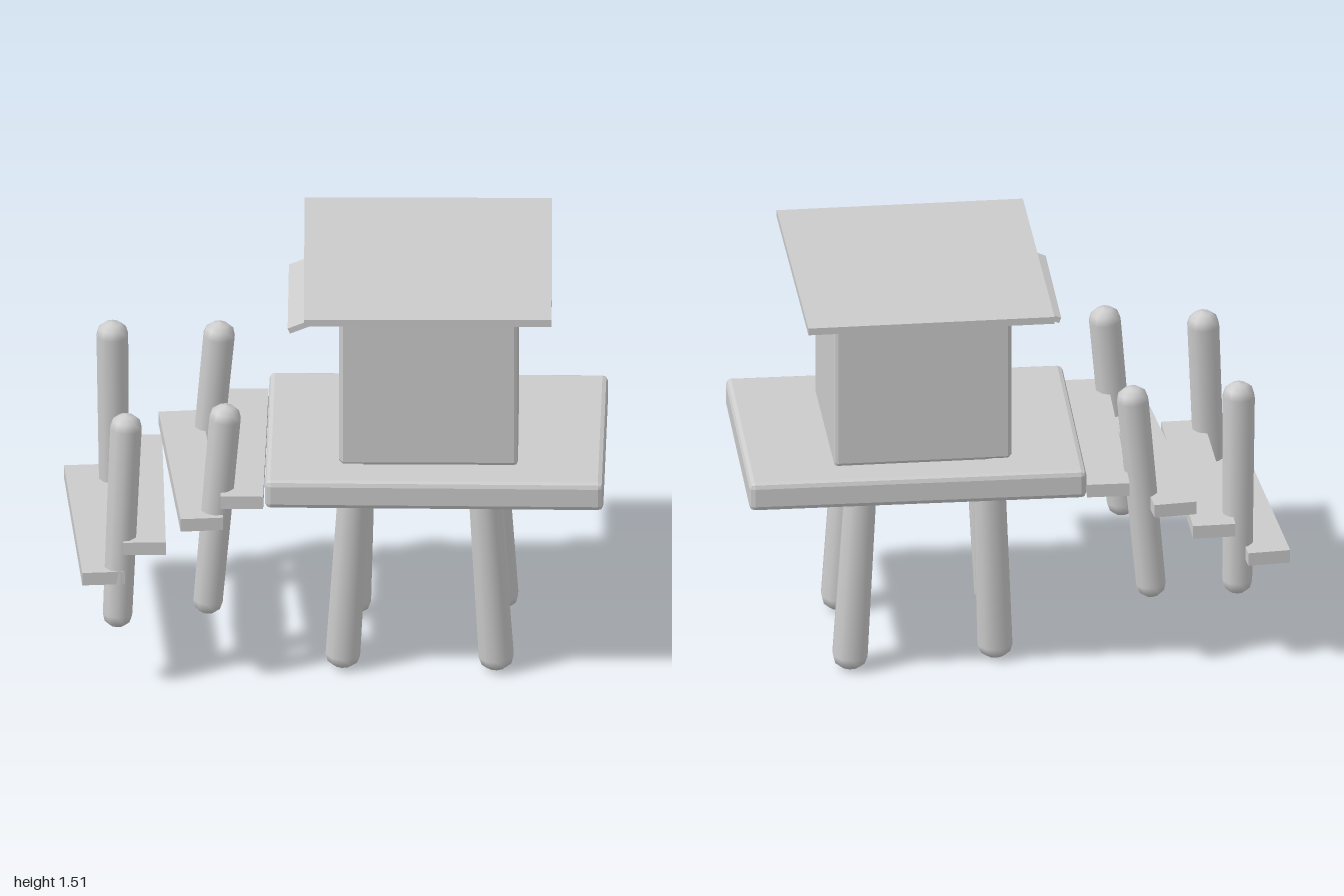
import * as THREE from 'three';
import { RoundedBoxGeometry } from 'three/addons/geometries/RoundedBoxGeometry.js';

const flat = new THREE.MeshStandardMaterial({ color: 0xcccccc, flatShading: true });
const smooth = new THREE.MeshStandardMaterial({ color: 0xcccccc });

function addMesh(parent, name, geometry, material, x = 0, y = 0, z = 0, turn = 0) {
  const mesh = new THREE.Mesh(geometry, material);
  mesh.name = name;
  mesh.position.set(x, y, z);
  mesh.rotation.y = turn;
  parent.add(mesh);
  return mesh;
}

// Round timber with blunt domed ends, running from bottom to top
function addLog(parent, name, bottom, top, rBottom, rTop) {
  const a = new THREE.Vector3(...bottom), b = new THREE.Vector3(...top);
  const axis = b.clone().sub(a), h = axis.length();
  const profile = [
    [0, 0], [rBottom * 0.5, 0.008], [rBottom * 0.85, 0.025], [rBottom, 0.055],
    [rTop, h - 0.055], [rTop * 0.85, h - 0.025], [rTop * 0.5, h - 0.008], [0, h],
  ].map(([r, y]) => new THREE.Vector2(r, y));
  const log = addMesh(parent, name, new THREE.LatheGeometry(profile, 10), smooth, ...bottom);
  log.quaternion.setFromUnitVectors(new THREE.Vector3(0, 1, 0), axis.normalize());
}

// Rectangle outline with cut corners
function cutRect(path, w, h, c) {
  const x = w / 2, y = h / 2;
  const pts = [[-x + c, -y], [x - c, -y], [x, -y + c], [x, y - c], [x - c, y], [-x + c, y], [-x, y - c], [-x, -y + c]];
  return path.setFromPoints(pts.map(p => new THREE.Vector2(...p)));
}

export function createModel() {
  const model = new THREE.Group();
  model.name = 'stiltHut';

  // Platform
  addMesh(model, 'platform', new RoundedBoxGeometry(1.23, 0.11, 0.94, 1, 0.02), flat, 0.372, 0.795, 0.03, 0.018);

  // Platform legs: bottom, top
  const legs = [
    [[0.602, 0.005, 0.28], [0.553, 0.78, 0.295]],
    [[0.6, 0.005, -0.235], [0.553, 0.78, -0.215]],
    [[0.038, 0.005, 0.28], [0.085, 0.78, 0.292]],
    [[0.062, 0.005, -0.17], [0.088, 0.78, -0.2]],
  ];
  for (const [bottom, top] of legs) addLog(model, 'leg', bottom, top, 0.066, 0.06);

  // Hut: solid body with a framed window recess on the right-hand side
  const hut = new THREE.Group();
  hut.name = 'hut';
  hut.position.set(0.345, 1.165, 0.02);
  hut.rotation.y = 0.03;
  model.add(hut);
  const size = 0.65, height = 0.64, bevel = 0.015, recess = 0.075, frameDepth = 0.13;
  addMesh(hut, 'hutBody', new RoundedBoxGeometry(size - recess, height, size, 1, bevel), flat, recess / 2);
  const outline = cutRect(new THREE.Shape(), size, height, bevel);
  outline.holes.push(cutRect(new THREE.Path(), size - 0.1, height - 0.1, 0.045));
  const frame = new THREE.ExtrudeGeometry(outline, {
    depth: frameDepth - 2 * bevel, bevelSize: bevel, bevelThickness: bevel, bevelOffset: -bevel, bevelSegments: 1,
  });
  frame.translate(0, 0, size / 2 - frameDepth + bevel).rotateY(-Math.PI / 2);
  addMesh(hut, 'windowFrame', frame, flat);

  // Propped window flap
  const flap = addMesh(model, 'windowFlap', new THREE.BoxGeometry(0.21, 0.022, 0.54), flat, -0.065, 1.405, 0.04, 0.028);
  flap.rotation.z = 0.39;

  // Roof
  addMesh(model, 'roof', new THREE.BoxGeometry(0.9, 0.027, 1.03), flat, 0.34, 1.497, -0.01, 0.035);

  // Stair planks: x, y, z, turn
  const planks = [
    [-0.87, 0.458, 0.072, 0.11],
    [-0.695, 0.577, 0.063, 0.052],
    [-0.52, 0.672, 0.053, 0.125],
    [-0.325, 0.762, 0.048, 0.015],
  ];
  for (const [x, y, z, turn] of planks) {
    addMesh(model, 'stairPlank', new THREE.BoxGeometry(0.155, 0.05, 0.91), flat, x, y, z, turn);
  }

  // Stair posts: bottom, top
  const posts = [
    [[-0.81, 0.28, -0.285], [-0.818, 1.115, -0.268]],
    [[-0.773, 0.243, 0.474], [-0.74, 1.078, 0.432]],
    [[-0.448, 0.28, 0.423], [-0.378, 1.115, 0.417]],
    [[-0.5, 0.28, -0.29], [-0.425, 1.115, -0.278]],
  ];
  for (const [bottom, top] of posts) addLog(model, 'stairPost', bottom, top, 0.056, 0.06);

  return model;
}
